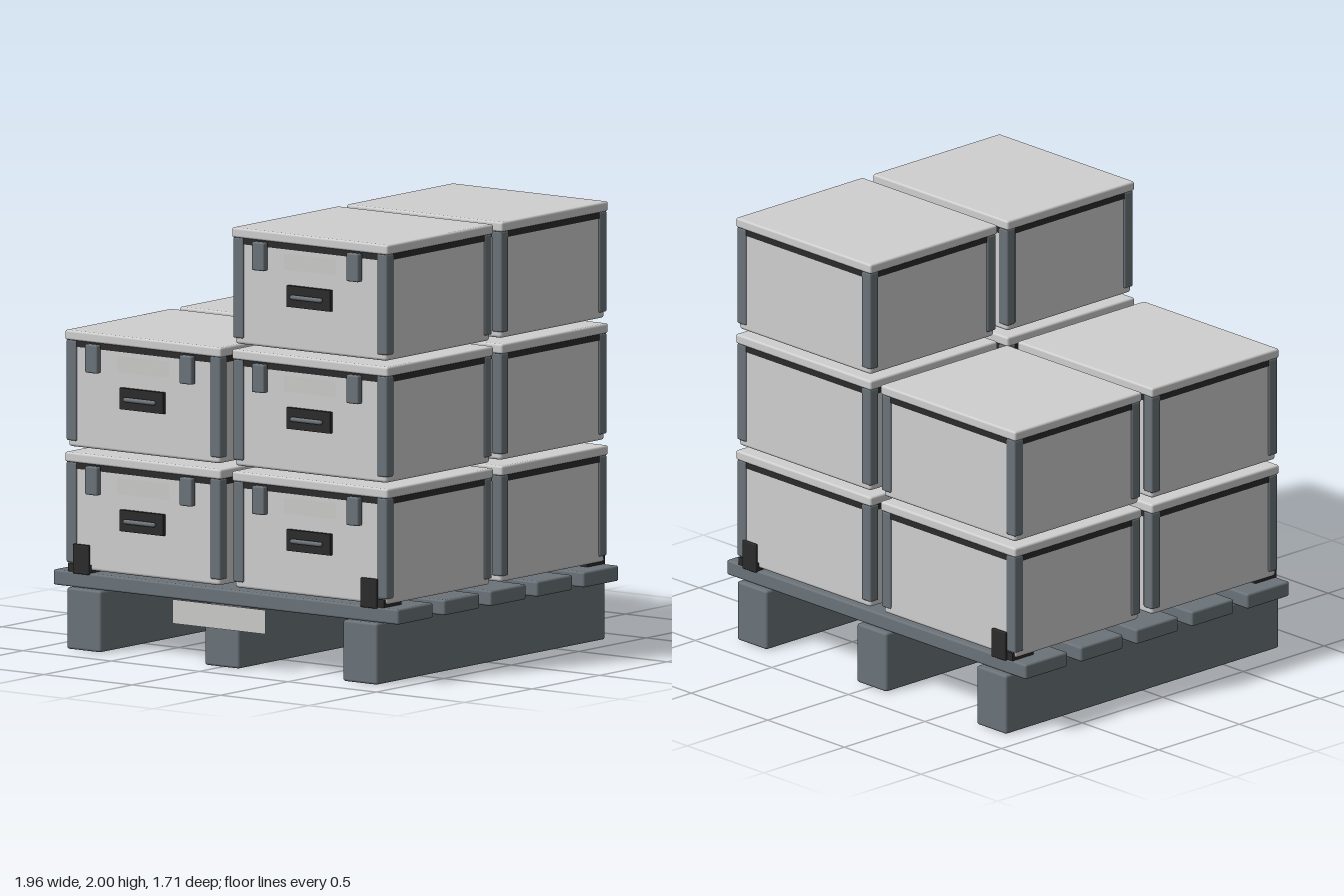
import * as THREE from 'three';
import { RoundedBoxGeometry } from 'three/addons/geometries/RoundedBoxGeometry.js';

const mat = (name, color) => {
  const m = new THREE.MeshStandardMaterial({ color });
  m.name = name;
  return m;
};

export function createModel() {
  const shell = mat('light grey', 0xcfcfcf);
  const label = mat('label grey', 0xcbcbc9);
  const slate = mat('slate grey', 0x6b7379);
  const dark = mat('near black', 0x2b2b2b);
  label.side = THREE.DoubleSide;

  const add = (parent, name, geo, material, x, y, z) => {
    const mesh = new THREE.Mesh(geo, material);
    mesh.name = name;
    mesh.position.set(x, y, z);
    parent.add(mesh);
    return mesh;
  };
  const rounded = (w, h, d, r) => new RoundedBoxGeometry(w, h, d, 2, r);

  const model = new THREE.Group();
  model.name = 'loadedPallet';

  // Pallet: three runners under five slats
  const pallet = new THREE.Group();
  pallet.name = 'pallet';
  model.add(pallet);
  const runnerGeo = rounded(0.195, 0.28, 1.695, 0.012);
  for (const x of [-0.782, 0, 0.782]) add(pallet, 'runner', runnerGeo, slate, x, 0.14, -0.01);
  const slatGeo = rounded(1.955, 0.07, 0.26, 0.01);
  for (let i = 0; i < 5; i++) add(pallet, 'slat', slatGeo, slate, 0, 0.314, -0.01 + (i - 2) * 0.344);
  add(pallet, 'palletLabel', new THREE.PlaneGeometry(0.525, 0.11), label, 0, 0.231, 0.857);

  // Corner brackets holding the bottom crates
  const footGeo = new THREE.BoxGeometry(0.125, 0.038, 0.13);
  const tabGeo = rounded(0.09, 0.135, 0.016, 0.005);
  for (const sx of [-1, 1]) for (const sz of [-1, 1]) {
    const bracket = new THREE.Group();
    bracket.name = 'cornerBracket';
    pallet.add(bracket);
    add(bracket, 'bracketFoot', footGeo, dark, sx * 0.832, 0.367, -0.014 + sz * 0.754);
    add(bracket, 'bracketTab', tabGeo, dark, sx * 0.814, 0.41, -0.014 + sz * 0.823);
  }

  // Geometries shared by all crates
  const bodyGeo = rounded(0.858, 0.47, 0.768, 0.014);
  const gasketGeo = new THREE.BoxGeometry(0.864, 0.03, 0.774);
  const lidGeo = rounded(0.883, 0.045, 0.788, 0.01);
  const postGeo = rounded(0.058, 0.458, 0.054, 0.008);
  const latchGeo = rounded(0.07, 0.13, 0.034, 0.008);
  const plateGeo = new THREE.BoxGeometry(0.245, 0.097, 0.02);
  const barGeo = new THREE.CapsuleGeometry(0.011, 0.16, 4, 12).rotateZ(Math.PI / 2);
  const cardGeo = new THREE.PlaneGeometry(0.297, 0.074);

  const makeCrate = (x, y, z) => {
    const crate = new THREE.Group();
    crate.name = 'crate';
    crate.position.set(x, y, z);
    model.add(crate);
    add(crate, 'body', bodyGeo, shell, 0, 0.235, 0);
    add(crate, 'gasket', gasketGeo, dark, 0, 0.472, 0);
    add(crate, 'lid', lidGeo, shell, 0, 0.5075, 0);
    for (const sx of [-1, 1]) {
      for (const sz of [-1, 1]) add(crate, 'cornerPost', postGeo, slate, sx * 0.407, 0.257, sz * 0.364);
      add(crate, 'latch', latchGeo, slate, sx * 0.267, 0.417, 0.412);
    }
    add(crate, 'handlePlate', plateGeo, dark, 0, 0.248, 0.393);
    add(crate, 'handleBar', barGeo, slate, 0, 0.248, 0.417);
    add(crate, 'crateLabel', cardGeo, label, 0, 0.401, 0.388);
  };

  // Stacks: three high on the left (+x), two high on the right
  for (const [x, count] of [[0.472, 3], [-0.472, 2]])
    for (const z of [0.411, -0.439])
      for (let i = 0; i < count; i++) makeCrate(x, 0.36 + i * 0.555, z);

  return model;
}
